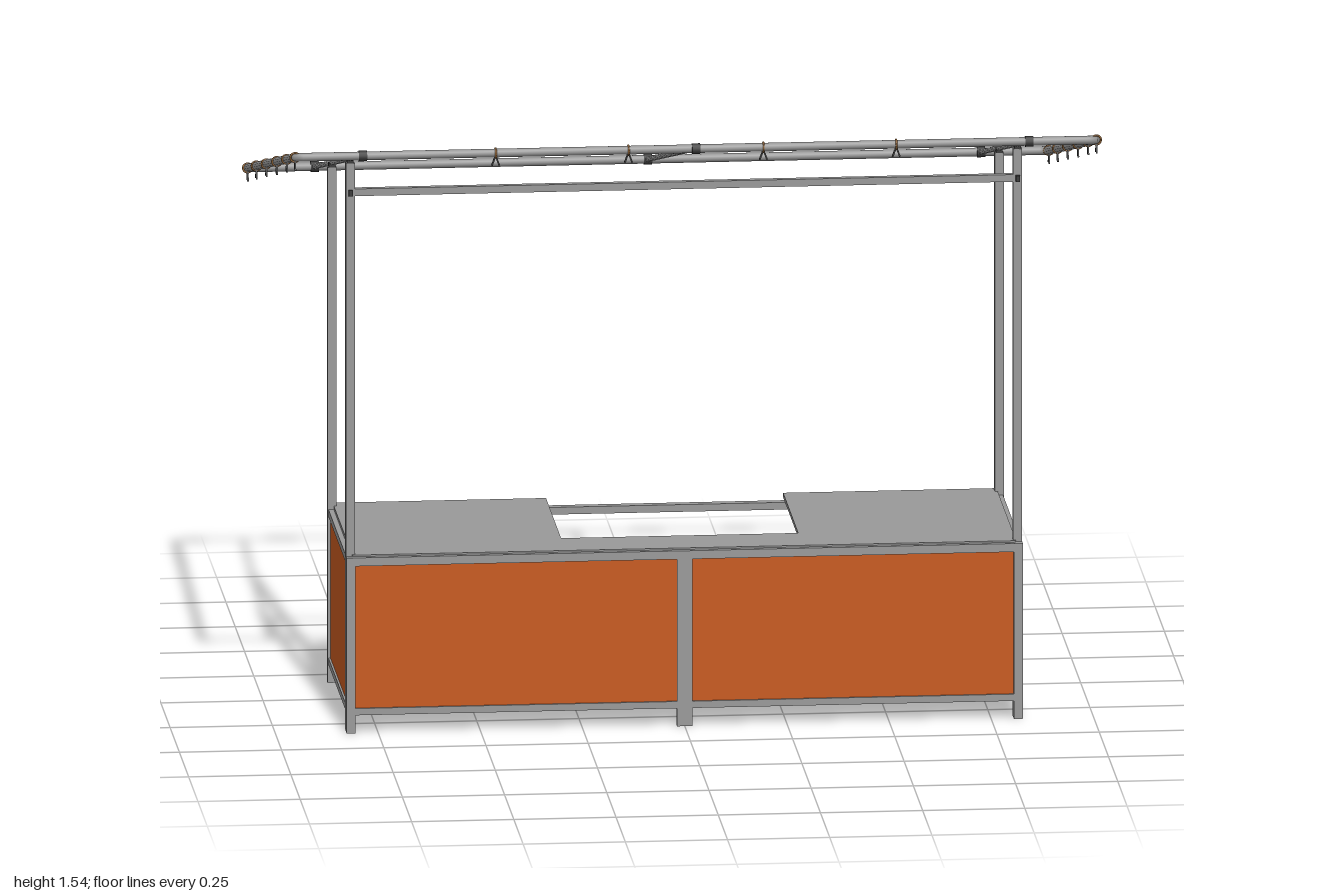
import * as THREE from 'three';

export function createModel() {
  const mat = (name, color) => {
    const m = new THREE.MeshStandardMaterial({ color });
    m.name = name;
    return m;
  };
  const metal = mat('aluminium', 0x999999);
  const orange = mat('orange panel', 0xc85a20);
  const tan = mat('plywood inside', 0x9f6e3b);
  const dark = mat('dark clamp', 0x3a3a3a);

  const model = new THREE.Group();
  model.name = 'marketStall';

  const add = (name, geometry, material, parent = model) => {
    const mesh = new THREE.Mesh(geometry, material);
    mesh.name = name;
    parent.add(mesh);
    return mesh;
  };
  // box given by its min and max on each axis
  const box = (name, [x0, x1], [y0, y1], [z0, z1], material, parent) => {
    const m = add(name, new THREE.BoxGeometry(x1 - x0, y1 - y0, z1 - z0), material, parent);
    m.position.set((x0 + x1) / 2, (y0 + y1) / 2, (z0 + z1) / 2);
    return m;
  };
  const mirrored = (s, a, b) => (s > 0 ? [a, b] : [-b, -a]);

  // roof slope, high at the front
  const roofY = z => 1.35 + z * 0.268;

  // posts, front legs and end panels
  for (const s of [1, -1]) {
    const x = mirrored(s, 0.805, 0.827);
    box('frontPost', x, [0, roofY(0.32) - 0.01], [0.308, 0.33], metal);
    box('backPost', x, [0, roofY(-0.175) - 0.01], [-0.187, -0.165], metal);
    box('frontLeg', x, [0, 0.44], [0.33, 0.349], metal);
    for (const [y0, y1] of [[0.045, 0.062], [0.417, 0.435]])
      box('endRail', mirrored(s, 0.807, 0.825), [y0, y1], [-0.165, 0.308], metal);
    const sides = s > 0
      ? [orange, tan, metal, metal, metal, metal]
      : [tan, orange, metal, metal, metal, metal];
    box('endPanel', mirrored(s, 0.812, 0.82), [0.06, 0.419], [-0.165, 0.308], sides);
    for (const z of [0.319, -0.176])
      box('postClamp', mirrored(s, 0.808, 0.824), [roofY(z) - 0.03, roofY(z)], [z - 0.009, z + 0.009], dark);
    box('crossbarKnob', mirrored(s, 0.811, 0.821), [1.345, 1.36], [0.33, 0.338], dark);

    // front panel half
    box('frontPanel', mirrored(s, 0.018, 0.806), [0.06, 0.421], [0.336, 0.343],
      [metal, metal, metal, metal, orange, tan]);
    for (const [y0, y1] of [[0.045, 0.062], [0.419, 0.44]])
      box('frontRail', mirrored(s, 0.018, 0.806), [y0, y1], [0.33, 0.348], metal);
  }
  box('centreLeg', [-0.019, 0.019], [0, 0.44], [0.33, 0.349], metal);
  box('frontInnerRail', [-0.806, 0.806], [0.417, 0.433], [0.308, 0.328], metal);
  box('backRail', [-0.806, 0.806], [0.415, 0.433], [-0.167, -0.145], metal);
  box('upperCrossbar', [-0.806, 0.806], [1.343, 1.361], [0.311, 0.327], metal);

  // U-shaped counter, open at the back
  const top = new THREE.Shape();
  [[-0.812, -0.335], [0.812, -0.335], [0.812, 0.197], [0.29, 0.197],
    [0.29, -0.21], [-0.29, -0.21], [-0.29, 0.197], [-0.812, 0.197]]
    .forEach(([x, y], i) => (i ? top.lineTo(x, y) : top.moveTo(x, y)));
  top.closePath();
  const counter = add('counterTop',
    new THREE.ExtrudeGeometry(top, { depth: 0.011, bevelEnabled: false }), metal);
  counter.rotation.x = -Math.PI / 2;
  counter.position.y = 0.433;

  // tilted roof
  const roof = new THREE.Group();
  roof.name = 'roofFrame';
  roof.position.set(0, 1.35, 0);
  roof.rotation.x = -Math.atan(0.268);
  model.add(roof);
  const W = 0.98, D = 0.672, c = 0.025;
  const path = new THREE.CurvePath();
  const v = (x, z) => new THREE.Vector3(x, 0, z);
  const corners = [[1, 1], [-1, 1], [-1, -1], [1, -1]];
  corners.forEach(([sx, sz], i) => {
    const alongX = v(sx * (W - c), sz * D), alongZ = v(sx * W, sz * (D - c));
    const [a, b] = i % 2 ? [alongX, alongZ] : [alongZ, alongX];
    path.add(new THREE.QuadraticBezierCurve3(a, v(sx * W, sz * D), b));
    const [nx, nz] = corners[(i + 1) % 4];
    const end = i % 2 ? v(nx * W, nz * (D - c)) : v(nx * (W - c), nz * D);
    path.add(new THREE.LineCurve3(b, end));
  });
  add('roofRim', new THREE.TubeGeometry(path, 400, 0.0105, 10, true), metal, roof);

  // rafters with clamps on the rim
  for (const x of [-0.815, 0, 0.815]) {
    const rafter = add('rafter', new THREE.CylinderGeometry(0.0065, 0.0065, 2 * D, 10), metal, roof);
    rafter.rotation.x = Math.PI / 2;
    rafter.position.x = x;
    for (const z of [-D, D]) {
      const clamp = add('rafterClamp', new THREE.CylinderGeometry(0.013, 0.013, 0.02, 12), dark, roof);
      clamp.rotation.z = Math.PI / 2;
      clamp.position.set(x, 0, z);
    }
  }

  // hanging hooks: a ring round the rim and two short prongs
  const hook = (x, z, turn) => {
    const g = new THREE.Group();
    g.name = 'hook';
    g.position.set(x, roofY(z), z);
    g.rotation.y = turn;
    model.add(g);
    add('hookRing', new THREE.TorusGeometry(0.0115, 0.0025, 6, 14), tan, g).rotation.y = Math.PI / 2;
    for (const s of [-1, 1]) {
      const prong = add('hookProng', new THREE.BoxGeometry(0.004, 0.024, 0.004), dark, g);
      prong.position.set(s * 0.005, -0.02, 0);
      prong.rotation.z = s * 0.35;
    }
  };
  for (const x of [-0.49, -0.165, 0.165, 0.49]) hook(x, 0.648, 0);
  for (const s of [-1, 1])
    for (const z of [0.643, 0.42, 0.15, -0.13, -0.4, -0.635]) hook(s * W, z, Math.PI / 2);

  return model;
}
